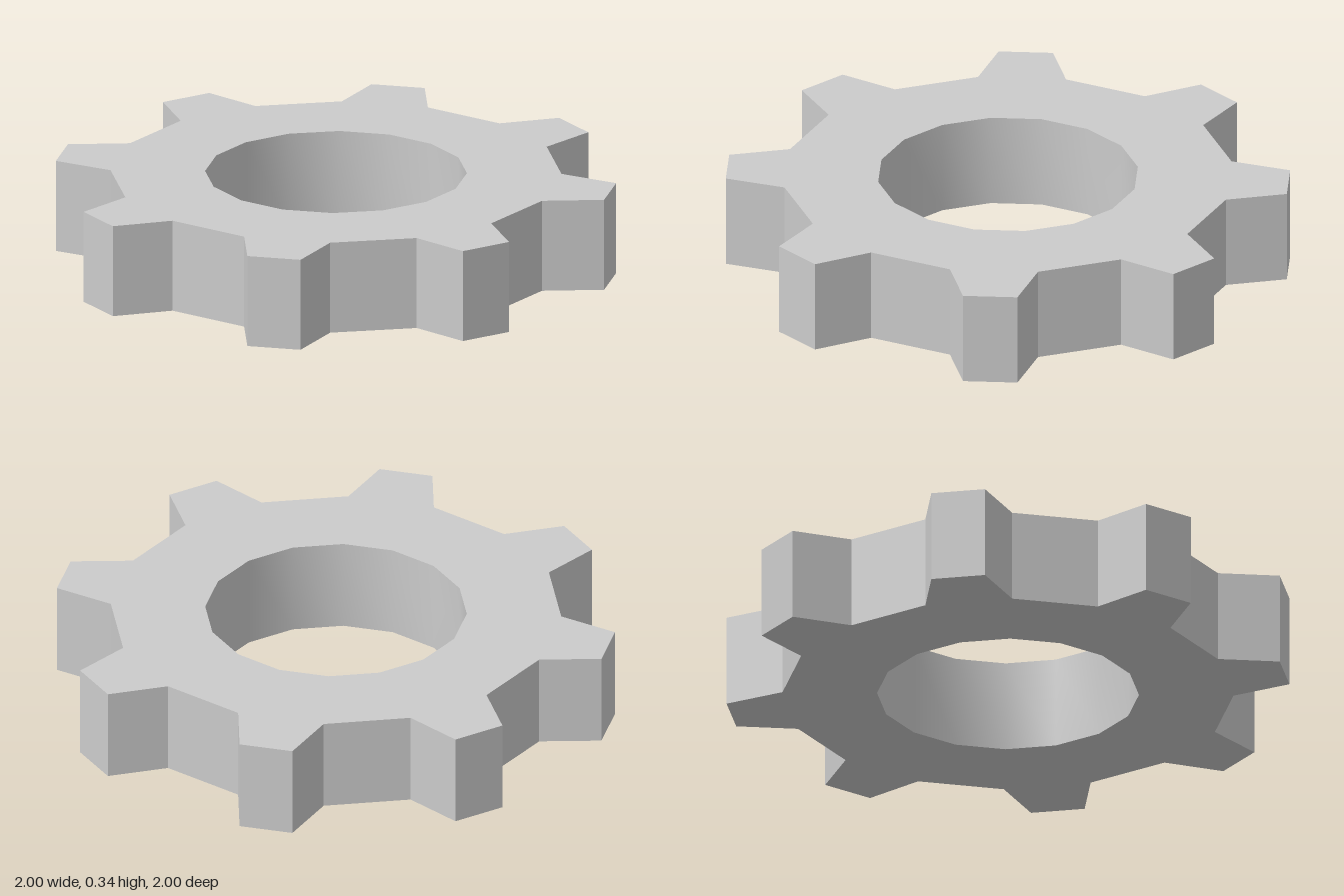
import * as THREE from 'three';
import { toCreasedNormals } from 'three/addons/utils/BufferGeometryUtils.js';

const TEETH = 8;
const HEIGHT = 0.337;
const BORE_SIDES = 16;
const BORE_RADIUS = 0.466;

// One tooth pointing along +x: [distance from centre, sideways offset]
const TOOTH = [[0.787, -0.157], [1, -0.097], [1, 0.097], [0.787, 0.157]];

export function createModel() {
  const group = new THREE.Group();
  group.name = 'gear';

  // Toothed outline
  const outline = [];
  for (let i = 0; i < TEETH; i++) {
    const angle = (i / TEETH) * Math.PI * 2;
    for (const [r, w] of TOOTH) {
      outline.push(new THREE.Vector2(r, w).rotateAround(new THREE.Vector2(), angle));
    }
  }
  const shape = new THREE.Shape(outline);

  // Round bore, with flats facing the axes
  const bore = [];
  for (let i = 0; i < BORE_SIDES; i++) {
    const angle = ((i + 0.5) / BORE_SIDES) * Math.PI * 2;
    bore.push(new THREE.Vector2(Math.cos(angle), Math.sin(angle)).multiplyScalar(BORE_RADIUS));
  }
  shape.holes.push(new THREE.Path(bore.reverse()));

  // Upright extrusion: smooth bore wall, sharp teeth
  const extruded = new THREE.ExtrudeGeometry(shape, { depth: HEIGHT, bevelEnabled: false });
  extruded.rotateX(-Math.PI / 2);
  const geometry = toCreasedNormals(extruded, THREE.MathUtils.degToRad(30));

  const body = new THREE.Mesh(geometry, new THREE.MeshStandardMaterial({ color: 0xcccccc }));
  body.name = 'gearBody';
  group.add(body);
  return group;
}
